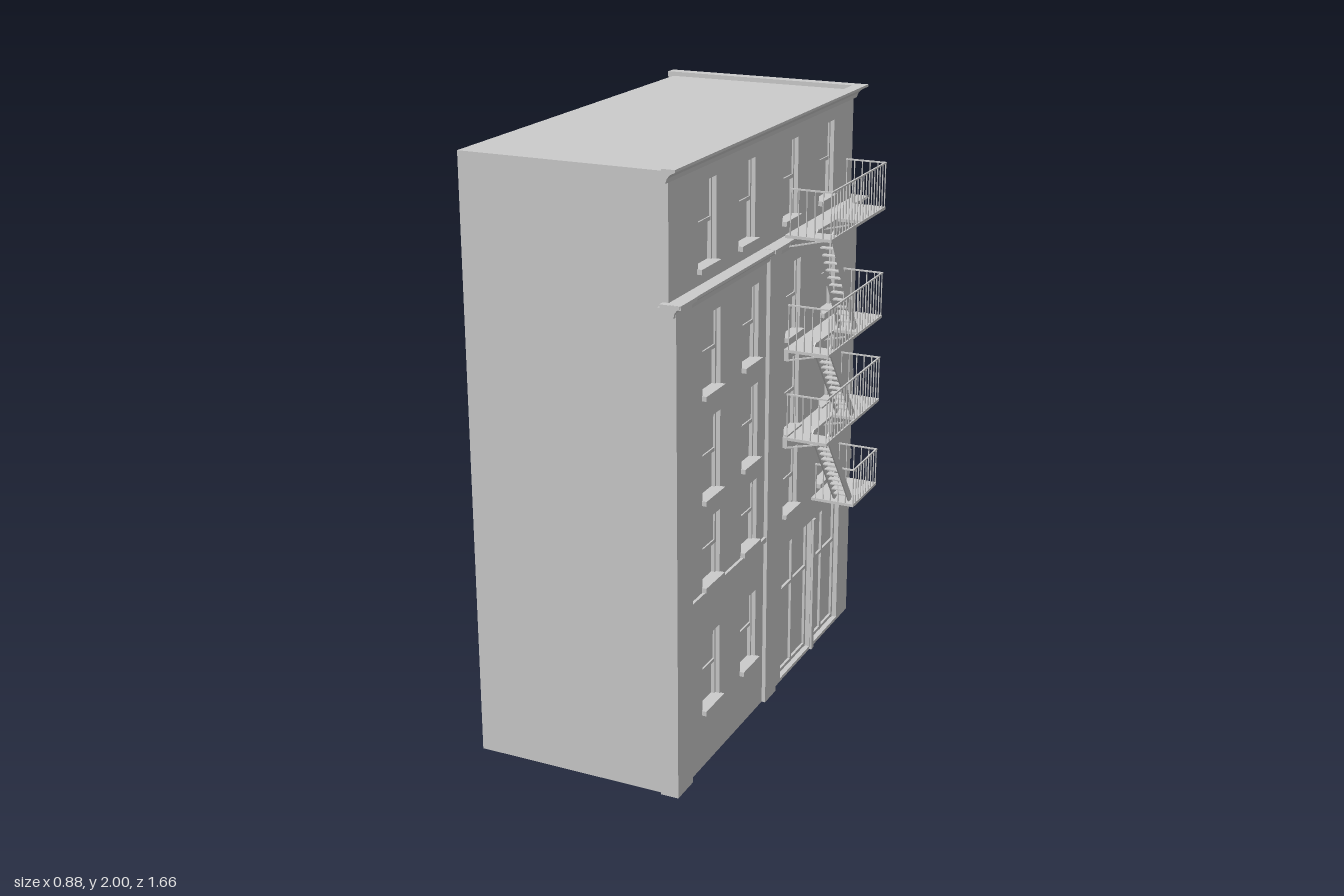
import * as THREE from 'three';
import { mergeGeometries } from 'three/addons/utils/BufferGeometryUtils.js';

const mat = new THREE.MeshStandardMaterial({ color: 0xcccccc, flatShading: true, side: THREE.DoubleSide });

function add(parent, name, geo) {
  const m = new THREE.Mesh(geo, mat);
  m.name = name;
  parent.add(m);
  return m;
}
function boxGeo(x0, x1, y0, y1, z0, z1) {
  return new THREE.BoxGeometry(x1 - x0, y1 - y0, z1 - z0).translate((x0 + x1) / 2, (y0 + y1) / 2, (z0 + z1) / 2);
}
const box = (parent, name, ...b) => add(parent, name, boxGeo(...b));

function outline(Type, u0, u1, y0, y1, arched) {
  const s = new Type();
  s.moveTo(u0, y0);
  s.lineTo(u1, y0);
  if (arched) {
    const r = (u1 - u0) / 2;
    s.lineTo(u1, y1 - r);
    s.absarc((u0 + u1) / 2, y1 - r, r, 0, Math.PI, false);
  } else {
    s.lineTo(u1, y1);
    s.lineTo(u0, y1);
  }
  s.closePath();
  return s;
}

// Facade slab with openings: u runs along the wall, d points outwards
function wall(parent, name, [u0, u1, y0, y1], d, thick, openings) {
  const s = outline(THREE.Shape, u0, u1, y0, y1);
  for (const o of openings) s.holes.push(outline(THREE.Path, o[0], o[1], o[2], o[3], o[4]));
  add(parent, name, new THREE.ExtrudeGeometry(s, { depth: thick, bevelEnabled: false, curveSegments: 16 }).translate(0, 0, d - thick));
}

// Sash window: offset upper and lower panes, frame, projecting sill
function sashWindow(parent, [u0, u1, y0, y1], d) {
  const g = new THREE.Group();
  g.name = 'sashWindow';
  const ym = (y0 + y1) / 2, f = 0.008;
  box(g, 'upperPane', u0, u1, ym, y1, d - 0.03, d - 0.02);
  box(g, 'lowerPane', u0, u1, y0, ym, d - 0.035, d - 0.026);
  box(g, 'meetingRail', u0, u1, ym - f, ym + f / 2, d - 0.03, d - 0.015);
  box(g, 'jamb', u0, u0 + f, y0, y1, d - 0.03, d - 0.014);
  box(g, 'jamb', u1 - f, u1, y0, y1, d - 0.03, d - 0.014);
  box(g, 'headRail', u0, u1, y1 - f, y1, d - 0.03, d - 0.014);
  box(g, 'sill', u0 - 0.004, u1 + 0.004, y0 - 0.016, y0, d - 0.03, d + 0.016);
  parent.add(g);
}

// Panelled infill with upright and level bars
function glazing(parent, name, [u0, u1, y0, y1], d, uprights, levels) {
  const g = new THREE.Group();
  g.name = name;
  box(g, 'panel', u0, u1, y0, y1, d - 0.035, d - 0.026);
  for (let i = 0; i <= uprights; i++) {
    const u = u0 + 0.006 + (u1 - u0 - 0.012) * i / uprights;
    box(g, 'upright', u - 0.006, u + 0.006, y0, y1, d - 0.03, d - 0.017);
  }
  for (const y of levels) box(g, 'crossbar', u0, u1, y - 0.006, y + 0.006, d - 0.03, d - 0.017);
  parent.add(g);
}

// Railing along a path of [x, z] points
function railing(parent, name, path, y0, y1, gap) {
  const geos = [], t = 0.0016;
  for (let i = 0; i + 1 < path.length; i++) {
    const [ax, az] = path[i], [bx, bz] = path[i + 1];
    const n = Math.round(Math.hypot(bx - ax, bz - az) / gap);
    for (let k = 0; k <= n; k++) {
      const x = ax + (bx - ax) * k / n, z = az + (bz - az) * k / n;
      geos.push(boxGeo(x - t, x + t, y0, y1, z - t, z + t));
    }
    const x0 = Math.min(ax, bx), x1 = Math.max(ax, bx), z0 = Math.min(az, bz), z1 = Math.max(az, bz);
    geos.push(boxGeo(x0 - 0.003, x1 + 0.003, y1 - 0.005, y1, z0 - 0.003, z1 + 0.003));
  }
  add(parent, name, mergeGeometries(geos));
}

// Moulding swept along the right side, mitred at the corner, then along the back
function cornice(parent, name, profile, xw, zw, zEnd, xEnd) {
  const n = profile.length, pos = [], idx = [];
  for (const [o, y] of profile) pos.push(xw + o, y, zEnd);
  for (const [o, y] of profile) pos.push(xw + o, y, -(zw + o));
  for (const [o, y] of profile) pos.push(xEnd, y, -(zw + o));
  for (let s = 0; s < 2; s++) {
    for (let i = 0; i < n; i++) {
      const a = s * n + i, b = s * n + (i + 1) % n;
      idx.push(a, a + n, b, b, a + n, b + n);
    }
  }
  const caps = THREE.ShapeUtils.triangulateShape(profile.map(p => new THREE.Vector2(...p)), []);
  for (const [a, b, c] of caps) idx.push(a, b, c, c + 2 * n, b + 2 * n, a + 2 * n);
  const g = new THREE.BufferGeometry();
  g.setAttribute('position', new THREE.Float32BufferAttribute(pos, 3));
  g.setIndex(idx);
  g.computeVertexNormals();
  add(parent, name, g);
}

// Flared pilaster: wide base, slimmer shaft, curved top
function pilaster(parent, u0, u1, d) {
  const s = new THREE.Shape(), i = 0.008;
  s.moveTo(u0, 0);
  s.lineTo(u1, 0);
  s.lineTo(u1, 0.64);
  s.lineTo(u1 - i, 0.65);
  s.lineTo(u1 - i, 1.53);
  s.quadraticCurveTo(u1 - i, 1.57, u1 + i, 1.59);
  s.lineTo(u0, 1.59);
  s.closePath();
  add(parent, 'pilaster', new THREE.ExtrudeGeometry(s, { depth: 0.03, bevelEnabled: false, curveSegments: 6 }).translate(0, 0, d - 0.03));
}

function stair(parent, z0, y0, z1, y1) {
  const g = new THREE.Group();
  g.name = 'stairFlight';
  const len = Math.hypot(z1 - z0, y1 - y0), n = 13;
  for (const x of [0.358, 0.413]) {
    const m = add(g, 'stringer', new THREE.BoxGeometry(0.005, 0.028, len));
    m.position.set(x, (y0 + y1) / 2, (z0 + z1) / 2);
    m.rotation.x = -Math.atan2(y1 - y0, z1 - z0);
  }
  for (let i = 1; i < n; i++) {
    const y = y0 + (y1 - y0) * i / n, z = z0 + (z1 - z0) * i / n;
    box(g, 'tread', 0.358, 0.413, y - 0.002, y + 0.002, z - 0.011, z + 0.011);
  }
  parent.add(g);
}

export function createModel() {
  const model = new THREE.Group();
  box(model, 'buildingCore', -0.42, 0.236, 0, 1.985, -0.645, 0.79);

  // Right facade: local u = -z, d = x
  const side = new THREE.Group();
  side.name = 'sideFacade';
  side.rotation.y = Math.PI / 2;
  model.add(side);
  const cols = [[-0.595, -0.465], [-0.30, -0.175], [0.05, 0.175], [0.365, 0.495]];
  const upper = cols.map(c => [...c, 1.656, 1.91]);
  const lower = [];
  for (const [y0, y1] of [[0.635, 0.85], [0.926, 1.18], [1.265, 1.51]]) for (const c of cols) lower.push([...c, y0, y1]);
  for (const c of cols.slice(0, 2)) lower.push([...c, 0.205, 0.45]);
  const garages = [[0.05, 0.325, 0.012, 0.51], [0.35, 0.595, 0.012, 0.51]];
  wall(side, 'upperWall', [-0.79, 0.675, 1.58, 1.985], 0.267, 0.032, upper);
  wall(side, 'lowerWall', [-0.80, 0.70, 0, 1.59], 0.282, 0.047, [...lower, ...garages]);
  for (const w of upper) sashWindow(side, w, 0.267);
  for (const w of lower) sashWindow(side, w, 0.282);
  for (const w of garages) glazing(side, 'garageDoor', w, 0.282, 2, [0.02, 0.33, 0.5]);
  box(side, 'glassBacking', -0.78, 0.64, 0.01, 1.57, 0.235, 0.25);
  pilaster(side, -0.80, -0.692, 0.295);
  pilaster(side, -0.112, -0.02, 0.295);
  box(side, 'beltCourse', -0.695, -0.11, 0.60, 0.617, 0.27, 0.292);
  box(side, 'doorPost', 0.327, 0.348, 0, 0.51, 0.27, 0.29);

  // Back facade: local u = -x, d = -z
  const back = new THREE.Group();
  back.name = 'backFacade';
  back.rotation.y = Math.PI;
  model.add(back);
  const topWins = [[-0.17, -0.045], [0.01, 0.14], [0.21, 0.34]].map(c => [...c, 1.656, 1.91]);
  const wide = [[-0.13, 0.285, 0.61, 0.84], [-0.13, 0.285, 0.93, 1.15], [-0.13, 0.285, 1.225, 1.48, true]];
  const door = [-0.13, 0.045, 0.015, 0.47], shop = [0.065, 0.285, 0.09, 0.47];
  wall(back, 'upperWall', [-0.267, 0.42, 1.58, 1.985], 0.675, 0.032, topWins);
  wall(back, 'lowerWall', [-0.282, 0.44, 0, 1.59], 0.702, 0.05, [...wide, door, shop]);
  for (const w of topWins) sashWindow(back, w, 0.675);
  for (const w of wide) glazing(back, 'wideWindow', w[4] ? [w[0], w[1], w[2], 1.28] : w, 0.702, 3, w[4] ? [1.275] : [w[3] - 0.006]);
  const fan = outline(THREE.Shape, -0.13, 0.285, 1.27, 1.48, true);
  add(back, 'archPane', new THREE.ShapeGeometry(fan, 16).translate(0, 0, 0.676));
  for (const u of [0.008, 0.147]) box(back, 'archMullion', u - 0.006, u + 0.006, 1.27, 1.462, 0.672, 0.685);
  const trim = add(back, 'archTrim', new THREE.TorusGeometry(0.2125, 0.007, 4, 20, Math.PI));
  trim.position.set(0.0775, 1.27, 0.702);
  glazing(back, 'entranceDoor', door, 0.702, 2, [0.34, 0.46]);
  glazing(back, 'shopWindow', shop, 0.702, 1, [0.1, 0.16, 0.4, 0.46]);
  box(back, 'doorStep', -0.13, 0.045, 0, 0.015, 0.66, 0.71);
  box(back, 'cornerPlinth', 0.29, 0.44, 0, 0.08, 0.66, 0.708);

  // Cornices
  cornice(model, 'roofCornice', [[-0.005, 1.955], [0.008, 1.958], [0.012, 1.972], [0.022, 1.984], [0.038, 1.992], [0.038, 2], [-0.005, 2]], 0.27, 0.668, 0.83, -0.44);
  cornice(model, 'middleCornice', [[-0.04, 1.565], [0.004, 1.565], [0.007, 1.58], [0.014, 1.59], [0.024, 1.595], [0.024, 1.604], [-0.04, 1.604]], 0.288, 0.702, 0.812, -0.44);
  for (const z of [0.755, 0.062]) box(model, 'corniceBreak', 0.28, 0.315, 1.592, 1.605, z - 0.056, z + 0.056);

  // Back balconies
  for (const [y, t, z] of [[0.6, 0.036, -0.83], [0.92, 0.032, -0.825], [1.215, 0.03, -0.82]]) {
    const b = new THREE.Group();
    b.name = 'backBalcony';
    box(b, 'slab', -0.44, 0.24, y - t, y, z, -0.69);
    railing(b, 'railing', [[-0.433, -0.706], [-0.433, z + 0.012], [0.233, z + 0.012], [0.233, -0.706]], y, y + 0.09, 0.024);
    model.add(b);
  }

  // Fire escape: platforms, railings, brackets and flights
  const escape = new THREE.Group();
  escape.name = 'fireEscape';
  model.add(escape);
  const levels = [[0.6, -0.315, 0.13], [0.92, -0.04, 0.155], [1.228, -0.04, 0.155], [1.615, -0.04, 0.155]];
  levels.forEach(([y, zf, h], i) => {
    const p = new THREE.Group();
    p.name = 'escapePlatform';
    const slab = (x0, x1, z0, z1) => box(p, 'deck', x0, x1, y - 0.01, y, z0, z1);
    if (i === 0) slab(0.28, 0.44, -0.55, zf);
    else {
      slab(0.28, 0.354, -0.55, zf);
      slab(0.354, 0.434, -0.55, -0.32);
      slab(0.354, 0.434, -0.11, zf);
      slab(0.434, 0.44, -0.55, zf);
    }
    railing(p, 'railing', [[0.297, zf - 0.003], [0.437, zf - 0.003], [0.437, -0.547], [0.297, -0.547]], y, y + h, 0.026);
    for (const z of [-0.045, -0.285, -0.415, -0.545]) {
      if (z > zf) continue;
      const s = add(p, 'bracket', new THREE.BoxGeometry(0.125, 0.005, 0.005));
      s.position.set(0.35, y - 0.024, z);
      s.rotation.z = 0.25;
      box(p, 'bracketPlate', 0.28, 0.298, y - 0.04, y, z - 0.003, z + 0.003);
    }
    escape.add(p);
    if (i < 3) stair(escape, -0.355, y, -0.12, levels[i + 1][0]);
  });
  return model;
}
